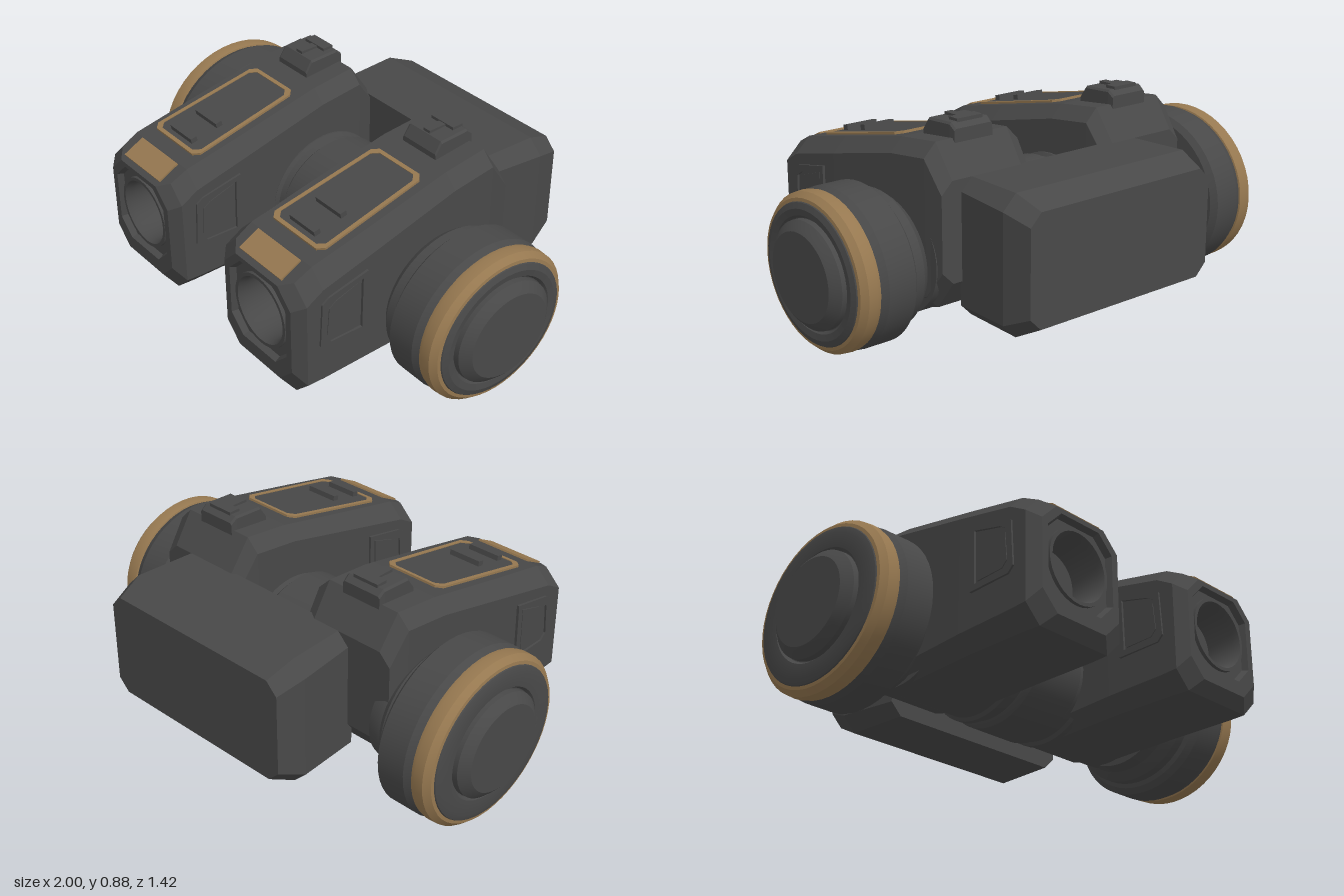
import * as THREE from 'three';
import { toCreasedNormals } from 'three/addons/utils/BufferGeometryUtils.js';

const dark = new THREE.MeshStandardMaterial({ color: 0x484848 });
dark.name = 'dark metal';
const gold = new THREE.MeshStandardMaterial({ color: 0x967850 });
gold.name = 'worn gold';

function add(parent, name, geometry, material = dark) {
  const mesh = new THREE.Mesh(geometry, material);
  mesh.name = name;
  parent.add(mesh);
  return mesh;
}

// Chamfered rectangle, counter-clockwise seen from the front
function octagon(w, y0, y1, c) {
  return [[w, y0 + c], [w, y1 - c], [w - c, y1], [c - w, y1],
    [-w, y1 - c], [-w, y0 + c], [c - w, y0], [w - c, y0]];
}

// Skin over octagons [z, halfWidth, bottom, top, chamfer], listed front to back
function loft(sections, frontCap) {
  const rings = sections.map(([z, w, y0, y1, c]) => octagon(w, y0, y1, c).map(([x, y]) => [x, y, z]));
  const pos = [];
  const tri = (...pts) => pts.forEach((p) => pos.push(...p));
  for (let i = 0; i < rings.length - 1; i++) {
    const f = rings[i], b = rings[i + 1];
    for (let k = 0; k < 8; k++) {
      const n = (k + 1) % 8;
      tri(f[k], b[k], f[n]);
      tri(f[n], b[k], b[n]);
    }
  }
  const first = rings[0], last = rings[rings.length - 1];
  for (let k = 1; k < 7; k++) {
    if (frontCap) tri(first[0], first[k], first[k + 1]);
    tri(last[0], last[k + 1], last[k]);
  }
  const g = new THREE.BufferGeometry();
  g.setAttribute('position', new THREE.Float32BufferAttribute(pos, 3));
  g.computeVertexNormals();
  return g;
}

// Turned part from [radius, height] pairs, axis along y
function turned(profile, segments = 48) {
  const g = new THREE.LatheGeometry(profile.map(([r, h]) => new THREE.Vector2(r, h)), segments);
  return toCreasedNormals(g, 0.45);
}

function plate(points, depth, hole) {
  const shape = new THREE.Shape(points.map(([x, y]) => new THREE.Vector2(x, y)));
  if (hole) shape.holes.push(new THREE.Path(hole.map(([x, y]) => new THREE.Vector2(x, y))));
  return new THREE.ExtrudeGeometry(shape, { depth, bevelEnabled: false });
}

// Tapered panel outline with cut corners, inset by d
function panel(d) {
  const a = 0.15 - d, b = 0.138 - d, h = 0.257 - d, c = 0.025;
  return [[-a, c - h], [c - a, -h], [a - c, -h], [a, c - h],
    [b, h - c], [b - c, h], [c - b, h], [-b, h - c]];
}

// Pocket outline on the housing sides, inset by d (first coordinate is -z)
function pocket(d) {
  return [[-0.61 + d, 0.36 + d], [-0.585 + d, 0.335 + d], [-0.39 - d, 0.33 + d],
    [-0.385 - d, 0.6 - d], [-0.57 + d, 0.565 - d], [-0.6 + d, 0.545 - d]];
}

function makeHousing() {
  const g = new THREE.Group();
  // Shell with a recessed octagonal nose
  add(g, 'housingShell', loft([
    [0.68, 0.16, 0.25, 0.58, 0.065], [0.705, 0.17, 0.24, 0.59, 0.07],
    [0.705, 0.2, 0.18, 0.61, 0.075], [0.665, 0.244, 0.13, 0.632, 0.07],
    [0.59, 0.244, 0.13, 0.67, 0.065], [0.32, 0.24, 0.13, 0.725, 0.06],
    [-0.05, 0.23, 0.12, 0.8, 0.055], [-0.25, 0.225, 0.17, 0.82, 0.055],
    [-0.34, 0.215, 0.29, 0.69, 0.05],
  ], false));
  const face = new THREE.Shape(octagon(0.16, 0.25, 0.58, 0.065).map(([x, y]) => new THREE.Vector2(x, y)));
  face.holes.push(new THREE.Path().absarc(0, 0.415, 0.14, 0, Math.PI * 2, true));
  add(g, 'noseFace', new THREE.ShapeGeometry(face, 24)).position.z = 0.68;

  // Round opening with a raised lip
  const bore = turned([[0.152, 0.675], [0.152, 0.695], [0.138, 0.695], [0.128, 0.67], [0.122, 0.55], [0, 0.55]], 32);
  bore.rotateX(Math.PI / 2);
  add(g, 'bore', bore).position.y = 0.415;

  // Gold brow above the nose
  const brow = add(g, 'browPlate', new THREE.BoxGeometry(0.25, 0.02, 0.1), gold);
  brow.position.set(0, 0.643, 0.638);
  brow.rotation.x = 0.47;

  // Sloping top panel with gold edging and two ribs
  const top = new THREE.Group();
  top.name = 'topPanel';
  top.position.set(0, 0.734, 0.275);
  top.rotation.x = 0.2;
  g.add(top);
  const flat = (geometry) => geometry.rotateX(-Math.PI / 2);
  add(top, 'panelEdging', flat(plate(panel(0), 0.009, panel(0.017))), gold);
  add(top, 'panelInset', flat(plate(panel(0.017), 0.006)));
  for (const z of [0.08, 0.205]) {
    add(top, 'panelRib', new THREE.BoxGeometry(0.145, 0.035, 0.028)).position.set(0, 0.01, z);
  }

  // Sight block on the rear of the top
  add(g, 'sightBase', loft([
    [-0.075, 0.092, 0.76, 0.825, 0.006], [-0.105, 0.092, 0.76, 0.87, 0.008],
    [-0.235, 0.092, 0.76, 0.876, 0.008], [-0.262, 0.09, 0.76, 0.855, 0.008],
  ], true));
  add(g, 'sightBridge', new THREE.BoxGeometry(0.12, 0.03, 0.05)).position.set(0, 0.871, -0.215);
  add(g, 'sightRidge', new THREE.BoxGeometry(0.035, 0.02, 0.08)).position.set(0, 0.872, -0.15);

  // Framed pockets on both sides
  for (const s of [1, -1]) {
    const side = new THREE.Group();
    side.name = 'sidePocket';
    side.scale.x = s;
    g.add(side);
    add(side, 'pocketFrame', plate(pocket(0), 0.016, pocket(0.025)).rotateY(Math.PI / 2)).position.x = 0.236;
    add(side, 'pocketInset', plate(pocket(0.035), 0.01).rotateY(Math.PI / 2)).position.x = 0.237;
  }
  return g;
}

// End wheel along x; r is the rim radius, s the side
function makeWheel(s, r, inner) {
  const g = new THREE.Group();
  const part = (name, profile, material) =>
    add(g, name, turned(profile).rotateZ(-s * Math.PI / 2), material);
  part('wheelCollar', [[0, 0.56], [0.25, 0.56], [0.265, 0.61], [inner - 0.02, 0.625],
    [inner, 0.65], [inner, 0.69], [inner - 0.02, 0.705]]);
  part('wheelDrum', [[inner - 0.04, 0.69], [r - 0.025, 0.7], [r, 0.72], [r, 0.84], [r - 0.015, 0.87], [r - 0.03, 0.875]]);
  part('wheelGoldRing', [[r - 0.03, 0.865], [r - 0.008, 0.872], [r - 0.003, 0.89], [r - 0.006, 0.925], [r - 0.028, 0.948], [r - 0.045, 0.95]], gold);
  part('wheelFace', [[r - 0.03, 0.93], [r - 0.045, 0.954], [r - 0.07, 0.962], [0.245, 0.958], [0.235, 0.945], [0.2, 0.94]]);
  part('hubCap', [[0.232, 0.93], [0.23, 0.968], [0.205, 0.99], [0.19, 1], [0, 1]]);
  g.scale.y = 0.92;
  return g;
}

export function createModel() {
  const model = new THREE.Group();
  model.name = 'twinHousingDevice';

  // Pair of forward housings
  for (const [name, x, z] of [['rightHousing', -0.413, -0.01], ['leftHousing', 0.388, 0.003]]) {
    const h = makeHousing();
    h.name = name;
    h.position.set(x, 0, z);
    model.add(h);
  }

  // Cross tube joining the housings and wheels
  const half = [[0.27, 0.115], [0.255, 0.13], [0.245, 0.135], [0.25, 0.165], [0.265, 0.175], [0.265, 0.2], [0.25, 0.21], [0.25, 0.61], [0, 0.61]];
  const profile = [...half.map(([r, h]) => [r, -h]).reverse(), ...half];
  const tube = add(model, 'crossTube', turned(profile).rotateZ(-Math.PI / 2));
  tube.position.set(0, 0.35, -0.06);
  tube.scale.y = 0.94;

  // End wheels
  const right = makeWheel(-1, 0.378, 0.285);
  right.name = 'rightWheel';
  right.position.set(-0.0, 0.355, -0.13);
  const left = makeWheel(1, 0.343, 0.3);
  left.name = 'leftWheel';
  left.position.set(0, 0.325, 0.01);
  model.add(right, left);

  // Chamfered rear pack
  add(model, 'rearPack', loft([
    [-0.325, 0.465, 0.14, 0.69, 0.05], [-0.6, 0.49, 0.14, 0.692, 0.06], [-0.715, 0.46, 0.2, 0.645, 0.05],
  ], true)).position.x = 0.045;

  return model;
}
